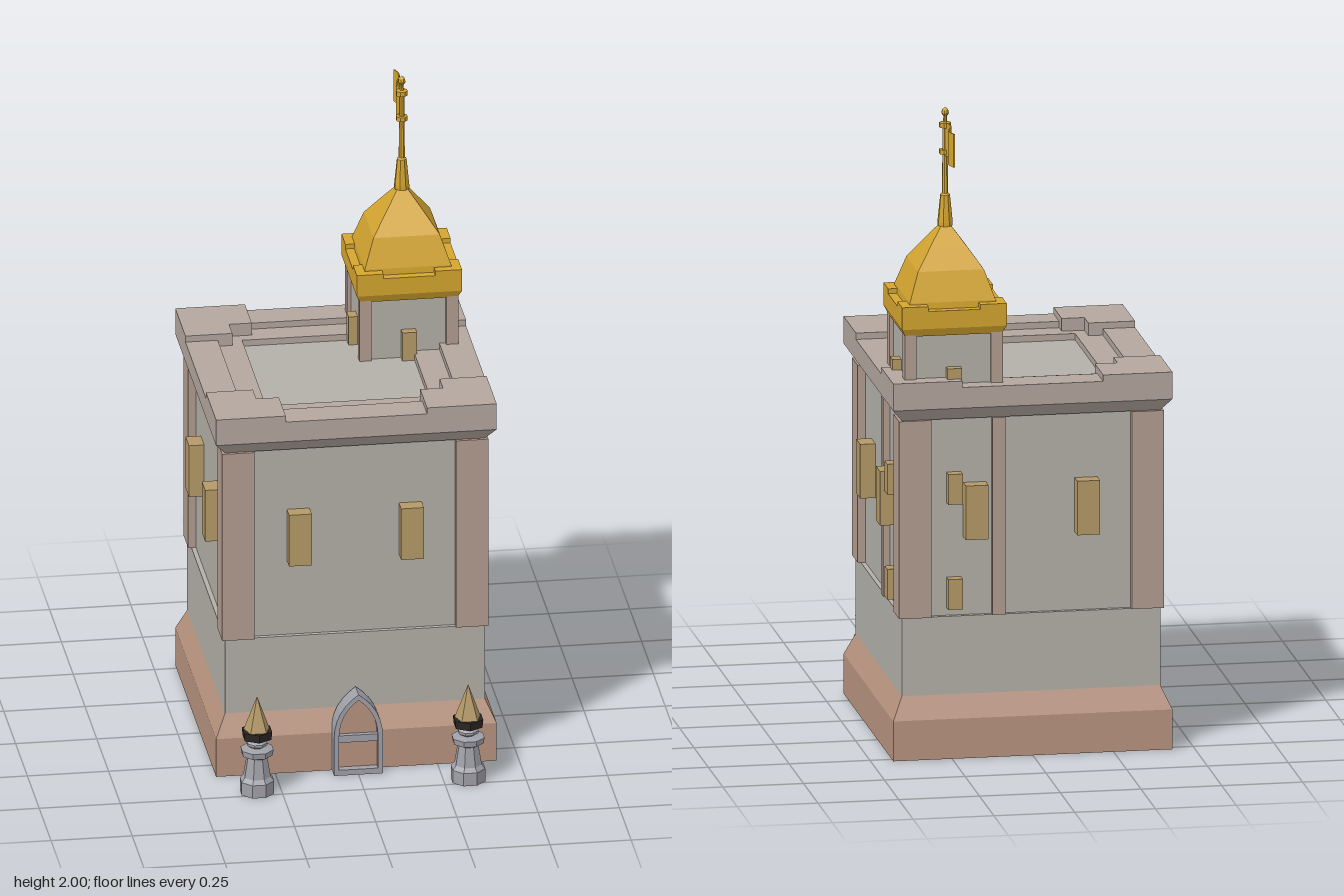
import * as THREE from 'three';

const mat = (color) => new THREE.MeshStandardMaterial({ color, flatShading: true, side: THREE.DoubleSide });
const WALL = mat(0xb3b0a8), TRIM = mat(0xb3a69e), BASE = mat(0xb8937f), PILASTER = mat(0xb39d91);
const WINDOW = mat(0xb59a68), GOLD = mat(0xd4a52f), STONE = mat(0xa0a0a8), IRON = mat(0x2a2624);

function add(parent, name, geometry, material, x = 0, y = 0, z = 0) {
  const mesh = new THREE.Mesh(geometry, material);
  mesh.name = name;
  mesh.position.set(x, y, z);
  parent.add(mesh);
  return mesh;
}

// Box given by its ranges on each axis
function box(parent, name, material, [x0, x1], [y0, y1], [z0, z1]) {
  return add(parent, name, new THREE.BoxGeometry(x1 - x0, y1 - y0, z1 - z0), material,
    (x0 + x1) / 2, (y0 + y1) / 2, (z0 + z1) / 2);
}

// Regular prism profile: [half width, height] pairs from bottom to top, flat sides facing the axes
function turned(points, sides = 4) {
  const k = 1 / Math.cos(Math.PI / sides);
  return new THREE.LatheGeometry(points.map(([h, y]) => new THREE.Vector2(h * k, y)), sides)
    .rotateY(Math.PI / sides);
}

// A group turned to each of the four sides in order: front, right view side, back, other side
function fourSides(parent, name, build) {
  for (let i = 0; i < 4; i++) {
    const side = new THREE.Group();
    side.name = name + (i + 1);
    side.rotation.y = i * Math.PI / 2;
    parent.add(side);
    build(side, i);
  }
}

// Flat outline raised from y0 to y1
function raised(points, y0, y1) {
  const shape = new THREE.Shape(points.map(([x, y]) => new THREE.Vector2(x, y)));
  return new THREE.ExtrudeGeometry(shape, { depth: y1 - y0, bevelEnabled: false })
    .rotateX(-Math.PI / 2).translate(0, y0, 0);
}

function pointedArch(w, y0, spring, top, Type = THREE.Shape) {
  const s = new Type();
  s.moveTo(-w, y0);
  s.lineTo(w, y0);
  s.lineTo(w, spring);
  s.quadraticCurveTo(w, spring + (top - spring) * 0.62, 0, top);
  s.quadraticCurveTo(-w, spring + (top - spring) * 0.62, -w, spring);
  s.closePath();
  return s;
}

function buildKeep() {
  const keep = new THREE.Group();
  keep.name = 'keep';
  add(keep, 'plinth', turned([[0, 0], [0.432, 0], [0.432, 0.125], [0.4, 0.195]]), BASE);
  add(keep, 'lowerWall', turned([[0.4, 0.195], [0.4, 0.44], [0.386, 0.44]]), WALL);
  add(keep, 'upperWall', turned([[0.386, 0.44], [0.386, 1.07]]), WALL);

  // Cornice, parapet walk and sunken roof
  add(keep, 'parapet', turned([[0.38, 1.06], [0.4, 1.06], [0.432, 1.1], [0.432, 1.165], [0.3325, 1.165],
    [0.3325, 1.145], [0.2525, 1.145], [0.2525, 1.125]]), TRIM);
  add(keep, 'roof', turned([[0.2525, 1.125], [0, 1.125]]), WALL);

  fourSides(keep, 'keepSide', (side, i) => {
    box(side, 'cornerPilaster', PILASTER, [0.31, 0.41], [0.44, 1.06], [0.31, 0.41]);
    add(side, 'cornerBattlement', raised([[0.432, -0.432], [0.432, -0.2175], [0.2875, -0.2175],
      [0.2875, -0.2875], [0.2175, -0.2875], [0.2175, -0.432]], 1.12, 1.185), TRIM);
    for (const x of [-0.1725, 0.1725]) {
      box(side, 'window', WINDOW, [x - 0.035, x + 0.035], [0.685, 0.855], [0.38, 0.433]);
    }
    // Stair turret strip on the two sides below the turret
    if (i === 1 || i === 2) {
      const s = i === 1 ? 1 : -1;
      const strip = s * 0.1, slit = s * 0.237;
      box(side, 'thinPilaster', PILASTER, [strip - 0.02, strip + 0.02], [0.44, 1.06], [0.38, 0.408]);
      for (const y of [0.465, 0.795]) {
        box(side, 'slitWindow', WINDOW, [slit - 0.0225, slit + 0.0225], [y, y + 0.095], [0.38, 0.42]);
      }
    }
  });
  return keep;
}

function buildTurret() {
  const turret = new THREE.Group();
  turret.name = 'turret';
  add(turret, 'turretWall', turned([[0.139, 1.12], [0.139, 1.33]]), WALL);
  add(turret, 'goldCornice', turned([[0.13, 1.32], [0.15, 1.32], [0.162, 1.345], [0.162, 1.4], [0.12, 1.4]]), GOLD);
  fourSides(turret, 'turretSide', (side) => {
    box(side, 'turretPilaster', PILASTER, [0.115, 0.152], [1.12, 1.325], [0.115, 0.152]);
    box(side, 'turretWindow', WINDOW, [-0.0225, 0.0225], [1.125, 1.218], [0.13, 0.167]);
    add(side, 'goldCorner', raised([[0.162, -0.162], [0.162, -0.08], [0.08, -0.08], [0.08, -0.162]],
      1.39, 1.415), GOLD);
  });
  add(turret, 'dome', turned([[0.135, 1.4], [0.133, 1.42], [0.102, 1.51], [0.058, 1.572], [0.012, 1.635]]), GOLD);

  // Spire with collars and a bud on top
  add(turret, 'spire', turned([[0, 1.628], [0.022, 1.628], [0.022, 1.64], [0.014, 1.725], [0.009, 1.73],
    [0.008, 1.853], [0.017, 1.853], [0.017, 1.867], [0.008, 1.867], [0.008, 1.936], [0.017, 1.936],
    [0.017, 1.951], [0.006, 1.953], [0.005, 1.97], [0.011, 1.98], [0.009, 1.991], [0, 2]], 8), GOLD);

  // Rippling flag flying towards the back
  const flag = new THREE.BoxGeometry(0.004, 0.105, 0.15, 1, 1, 10).translate(0, 1.9, -0.083);
  const p = flag.attributes.position;
  for (let i = 0; i < p.count; i++) {
    p.setX(i, p.getX(i) + 0.009 * Math.sin((p.getZ(i) + 0.008) / 0.15 * Math.PI * 2));
  }
  add(turret, 'flag', flag, GOLD);
  return turret;
}

function buildDoor() {
  const door = new THREE.Group();
  door.name = 'door';
  const frame = pointedArch(0.075, 0, 0.125, 0.265);
  frame.holes.push(pointedArch(0.06, 0.018, 0.125, 0.247, THREE.Path));
  add(door, 'doorFrame', new THREE.ExtrudeGeometry(frame,
    { depth: 0.065, bevelEnabled: false, curveSegments: 6 }), STONE, 0, 0, 0.32);
  add(door, 'doorPanel', new THREE.ExtrudeGeometry(pointedArch(0.062, 0.015, 0.125, 0.25),
    { depth: 0.045, bevelEnabled: false, curveSegments: 6 }), BASE, 0, 0, 0.315);
  box(door, 'doorCrossbar', STONE, [-0.062, 0.062], [0.105, 0.128], [0.35, 0.376]);
  return door;
}

function buildLampPost(x) {
  const post = new THREE.Group();
  post.name = 'lampPost';
  post.position.set(x, 0, 0.47);
  add(post, 'pedestal', turned([[0, 0], [0.05, 0], [0.05, 0.042], [0.04, 0.055], [0.03, 0.118],
    [0.045, 0.126], [0.048, 0.145], [0.025, 0.15], [0, 0.15]], 8), STONE);
  add(post, 'neck', turned([[0.016, 0.148], [0.03, 0.158], [0.03, 0.166], [0.014, 0.182]], 8), STONE);
  add(post, 'collar', new THREE.CylinderGeometry(0.05, 0.047, 0.026, 6), IRON, 0, 0.193, 0);
  add(post, 'lampPoint', new THREE.ConeGeometry(0.043, 0.115, 5), WINDOW, 0, 0.2595, 0)
    .rotation.y = Math.PI;
  return post;
}

export function createModel() {
  const model = new THREE.Group();
  model.name = 'watchHouse';
  const keep = buildKeep();
  keep.position.z = -0.0925;
  const turret = buildTurret();
  turret.position.set(0.237, 0, -0.33);
  model.add(keep, turret, buildDoor(), buildLampPost(-0.325), buildLampPost(0.325));
  return model;
}
